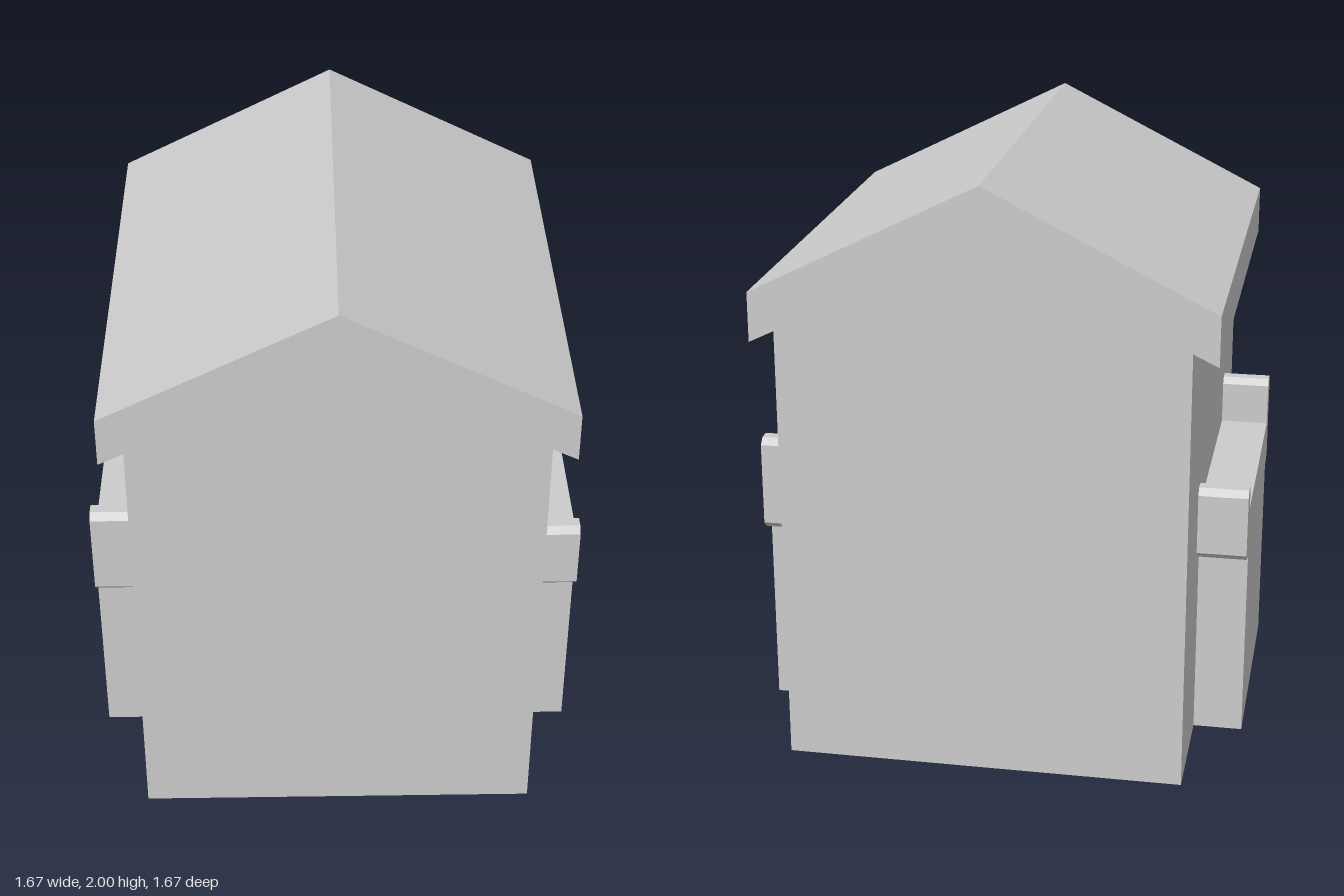
import * as THREE from 'three';

const material = new THREE.MeshStandardMaterial({ color: 0xcccccc, flatShading: true });

function extrude(name, points, depth) {
  const shape = new THREE.Shape(points.map(([x, y]) => new THREE.Vector2(x, y)));
  const geometry = new THREE.ExtrudeGeometry(shape, { depth, bevelEnabled: false });
  const mesh = new THREE.Mesh(geometry, material);
  mesh.name = name;
  return mesh;
}

// Outline of one side post, outer edge first: leg, notched underside, chamfered head.
// side is -1 or 1, top is the height of the head.
function postOutline(side, top) {
  return [
    [0.417, 0], [0.417, 0.65], [0.437, 0.67], [0.478, 0.67], [0.5, 0.692],
    [0.5, top - 0.022], [0.478, top], [0.437, top], [0.417, top - 0.022], [0.417, 0.833],
  ].map(([x, y]) => [side * x, y]);
}

export function createModel() {
  const model = new THREE.Group();
  model.name = 'house';

  // Walls and gabled roof with overhanging eaves, one continuous section
  const half = [[0.667, 0], [0.667, 1.5], [0.75, 1.46], [0.75, 1.625]];
  const mirrored = half.map(([x, y]) => [-x, y]).reverse();
  const house = extrude('wallsAndRoof', [...half, [0, 2], ...mirrored], 1.667);
  house.position.z = -0.8335;
  model.add(house);

  // Side panels with a low and a tall post, turned half round on the other side
  const outline = [...postOutline(1, 1), ...postOutline(-1, 0.92).reverse()];
  ['leftPanel', 'rightPanel'].forEach((name, i) => {
    const panel = extrude(name, outline, 0.167);
    panel.geometry.rotateY(Math.PI / 2).translate(0.6665, 0, 0);
    panel.rotation.y = i * Math.PI;
    model.add(panel);
  });

  return model;
}
